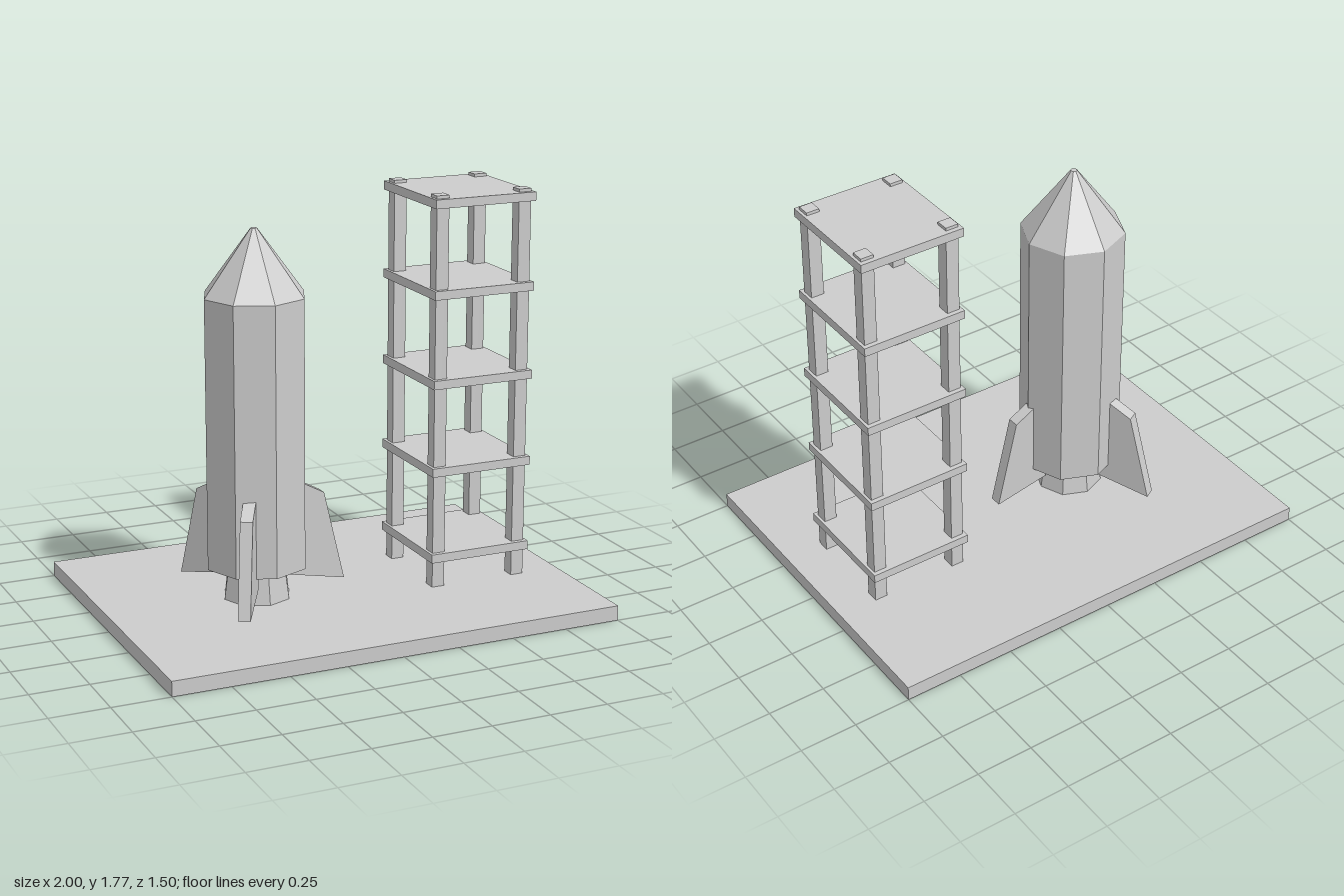
import * as THREE from 'three';

export function createModel() {
  const model = new THREE.Group();
  model.name = 'rocketLaunchPad';
  const grey = new THREE.MeshStandardMaterial({ color: 0xcccccc, flatShading: true });
  grey.name = 'light grey';

  function add(parent, name, geometry, x = 0, y = 0, z = 0) {
    const mesh = new THREE.Mesh(geometry, grey);
    mesh.name = name;
    mesh.position.set(x, y, z);
    parent.add(mesh);
    return mesh;
  }

  // Ground slab
  const padTop = 0.065;
  add(model, 'launchPad', new THREE.BoxGeometry(2, padTop, 1.5), 0, padTop / 2, 0);

  // Rocket: eight-sided nozzle, body and nose
  const rocket = new THREE.Group();
  rocket.name = 'rocket';
  rocket.position.x = -0.334;
  model.add(rocket);
  function section(name, topRadius, bottomRadius, y0, y1) {
    add(rocket, name, new THREE.CylinderGeometry(topRadius, bottomRadius, y1 - y0, 8), 0, (y0 + y1) / 2, 0);
  }
  section('nozzle', 0.128, 0.148, padTop, 0.21);
  section('body', 0.222, 0.222, 0.208, 1.375);
  section('noseCone', 0.014, 0.222, 1.375, 1.655);

  // Three swept fins around the body
  const finThickness = 0.053;
  const finShape = new THREE.Shape([
    [0.144, 0.142], [0.396, 0.092], [0.302, 0.49], [0.144, 0.576],
  ].map(([x, y]) => new THREE.Vector2(x, y)));
  const finGeometry = new THREE.ExtrudeGeometry(finShape, { depth: finThickness, bevelEnabled: false });
  finGeometry.translate(0, 0, -finThickness / 2);
  for (let i = 0; i < 3; i++) {
    add(rocket, 'fin', finGeometry).rotation.y = (i * Math.PI * 2) / 3;
  }

  // Service tower: four posts and five platforms
  const tower = new THREE.Group();
  tower.name = 'serviceTower';
  tower.position.x = 0.607;
  model.add(tower);
  const towerTop = 1.77;
  const postGeometry = new THREE.BoxGeometry(0.057, towerTop - padTop, 0.057);
  for (const x of [-0.192, 0.192]) {
    for (const z of [-0.2, 0.2]) add(tower, 'post', postGeometry, x, (towerTop + padTop) / 2, z);
  }
  const platformGeometry = new THREE.BoxGeometry(0.466, 0.038, 0.498);
  for (let i = 0; i < 5; i++) add(tower, 'platform', platformGeometry, 0, 0.2 + i * 0.3845, 0);

  return model;
}
